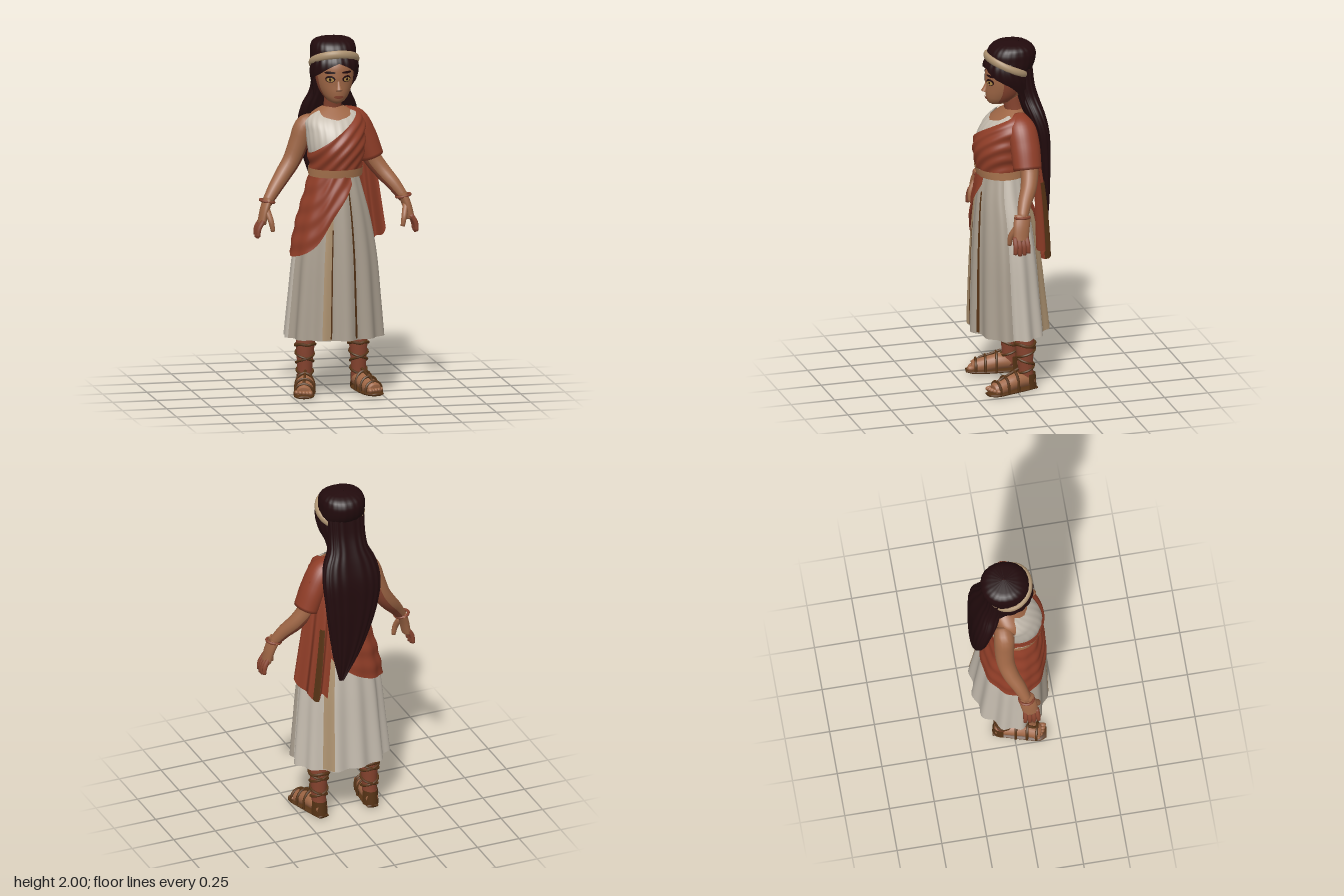
import * as THREE from 'three';
import { mergeVertices } from 'three/addons/utils/BufferGeometryUtils.js';

const paint = (name, color, side = THREE.FrontSide) => {
  const m = new THREE.MeshStandardMaterial({ color, side });
  m.name = name;
  return m;
};
const D = THREE.DoubleSide;
const M = {
  skin: paint('skin', 0x9e6645), deep: paint('deepSkin', 0x87442f), linen: paint('linen', 0xc3baad, D),
  pleat: paint('pleatShade', 0xaa9f90, D), rust: paint('rustCloth', 0x8f3d27, D), hair: paint('darkHair', 0x220b0d, D),
  band: paint('headbandCloth', 0xad9270, D), tan: paint('tanLeather', 0xae7851, D), brown: paint('sandalBrown', 0x563315, D),
  eye: paint('amberEye', 0xb08a48),
};
const { lerp, clamp } = THREE.MathUtils;
const PI = Math.PI, { sin, cos, abs, sign, pow } = Math;

// Smooth function through rows [t, ...values], t ascending
function prof(rows) {
  const n = rows[0].length - 1;
  const c = new THREE.CubicInterpolant(rows.map(r => r[0]), rows.flatMap(r => r.slice(1)), n, new Array(n));
  return t => c.evaluate(clamp(t, rows[0][0], rows[rows.length - 1][0]));
}

// Grid surface from f(u, v); faces outward when u x v points out
function patch(f, nu, nv) {
  const p = [], idx = [];
  for (let j = 0; j <= nv; j++) for (let i = 0; i <= nu; i++) p.push(...f(i / nu, j / nv));
  for (let j = 0; j < nv; j++) for (let i = 0; i < nu; i++) {
    const a = j * (nu + 1) + i, b = a + 1, c = a + nu + 1, d = c + 1;
    idx.push(a, b, c, b, d, c);
  }
  let g = new THREE.BufferGeometry();
  g.setAttribute('position', new THREE.Float32BufferAttribute(p, 3));
  g.setIndex(idx);
  g = mergeVertices(g, 1e-5);
  g.computeVertexNormals();
  return g;
}

// Point on a profile of [y, halfWidth, frontZ, backZ]; angle 0 is the front
function surf(P, th, y, off = 0, e = 1) {
  const [rx, zf, zb] = P(y), s = sin(th), c = cos(th);
  return [sign(s) * pow(abs(s), e) * (rx + off), y,
    (zf + zb) / 2 + sign(c) * pow(abs(c), e) * ((zf - zb) / 2 + off)];
}
const call = (f, ...a) => (typeof f === 'function' ? f(...a) : f);
function wrap(P, t0, t1, lo, hi, off, nu = 64, nv = 24, e = 1) {
  return patch((u, v) => {
    const th = lerp(t0, t1, u), y = lerp(call(lo, th), call(hi, th), v);
    return surf(P, th, y, call(off, th, y), e);
  }, nu, nv);
}
const decal = (P, t, y, dt, dy, off) => patch((u, v) =>
  surf(P, t + dt * v * cos(-u * 2 * PI), y + dy * v * sin(-u * 2 * PI), off), 20, 3);

// Rounded limb through points [x, y, z, radius]; k flattens it along the second axis,
// u0..u1 limits how far round it goes and grow thickens it
function limb(pts, k = 1, ref = [0, 0, 1], nu = 18, nv = 24, u0 = 0, u1 = 1, grow = 0) {
  const curve = new THREE.CatmullRomCurve3(pts.map(q => new THREE.Vector3(q[0], q[1], q[2])));
  const R = prof(pts.map((q, i) => [i / (pts.length - 1), q[3]])), up = new THREE.Vector3(...ref);
  return patch((u, v) => {
    const t = clamp((v * nv - 1) / (nv - 2), 0, 1), r = v === 0 || v === 1 ? 0 : R(t)[0] + grow;
    const T = curve.getTangent(t), N = up.clone().cross(T).normalize(), B = T.clone().cross(N);
    const a = lerp(u0, u1, u) * 2 * PI;
    return curve.getPoint(t).addScaledVector(N, r * cos(a)).addScaledVector(B, k * r * sin(a)).toArray();
  }, nu, nv);
}
const cord = (pts, r, closed = false, n = 48) => new THREE.TubeGeometry(
  new THREE.CatmullRomCurve3(pts.map(p => new THREE.Vector3(...p)), closed), n, r, 7, closed);
const steps = (n, f) => Array.from({ length: n }, (_, i) => f(i));

// Cross-section profiles
const BODY = prof([[1.22, .122, .145, -.075], [1.3, .128, .165, -.08], [1.4, .145, .175, -.09], [1.48, .15, .15, -.1],
  [1.54, .15, .105, -.1], [1.58, .12, .055, -.095], [1.61, .06, .015, -.08]]);
const SKIRT = prof([[.33, .275, .212, -.207], [.55, .256, .208, -.185], [.8, .232, .2, -.16], [1, .195, .188, -.13],
  [1.12, .162, .176, -.1], [1.25, .126, .152, -.08]]);
const HEAD = prof([[1.635, 0, .07, .06], [1.648, .036, .105, .0], [1.67, .06, .12, -.03], [1.7, .08, .126, -.07],
  [1.75, .098, .126, -.09], [1.8, .105, .127, -.1], [1.86, .105, .118, -.1], [1.9, .08, .09, -.08]]);
const CAP = prof([[1.6, .1, .03, -.14], [1.7, .108, .07, -.13], [1.8, .133, .132, -.12], [1.87, .13, .135, -.1], [1.93, .11, .1, -.1]]);
const BUN = prof([[1.82, .112, .09, -.1], [1.86, .123, .112, -.135], [1.91, .125, .115, -.153], [1.95, .122, .106, -.15],
  [1.98, .104, .075, -.125], [1.994, .068, .035, -.085], [2, 0, -.02, -.03]]);
const TRESS = prof([[.9, .012, -.185, -.2], [1.05, .075, -.165, -.21], [1.2, .12, -.15, -.214], [1.35, .152, -.135, -.215],
  [1.5, .168, -.11, -.208], [1.6, .152, -.075, -.185], [1.68, .114, -.05, -.16], [1.75, .106, -.035, -.14], [1.86, .105, -.03, -.125]]);

export function createModel() {
  const model = new THREE.Group();
  const add = (name, geo, mat, parent = model) => {
    const m = new THREE.Mesh(geo, mat);
    m.name = name;
    parent.add(m);
    return m;
  };

  // Torso, neck and head
  add('torso', wrap(BODY, -PI, PI, 1.22, 1.61, -.003), M.skin);
  add('neck', limb([[0, 1.54, -.045, .07], [0, 1.6, -.035, .052], [0, 1.68, -.015, .047]]), M.deep);
  add('head', wrap(HEAD, -PI, PI, 1.635, 1.9, 0, 48, 30), M.skin);
  add('nose', limb([[0, 1.775, .117, .009], [0, 1.745, .128, .012], [0, 1.72, .137, .019]], .9), M.skin);
  add('lips', decal(HEAD, 0, 1.683, .36, .009, .006), M.deep);
  for (const s of [-1, 1]) {
    add('eyeOutline', decal(HEAD, s * .46, 1.784, .27, .019, .003), M.hair);
    add('eye', decal(HEAD, s * .46, 1.781, .2, .012, .005), M.eye);
    add('pupil', decal(HEAD, s * .45, 1.782, .06, .009, .007), M.hair);
    add('eyebrow', decal(HEAD, s * .46, 1.82, .3, .007, .004), M.hair);
    add('jawShade', wrap(HEAD, s * 1.65 - .4, s * 1.65 + .4, 1.66, 1.79, .0015, 10, 10), M.deep);
  }

  // Hair: swept fringe, bun, long tress drifting to the left, and flat band
  const fringe = prof([[0, 1.872], [.45, 1.845], [.85, 1.81], [1.2, 1.785], [1.5, 1.75], [1.9, 1.66], [PI, 1.62]]);
  add('hairCap', wrap(CAP, -PI, PI, t => fringe(abs(t))[0], 1.93, t => .002 * sin(abs(t) * 18), 96, 14), M.hair);
  add('hairBun', wrap(BUN, -PI, PI, 1.82, 2, t => .001 * sin(t * 22), 96, 24, .9), M.hair);
  add('longHair', patch((u, v) => {
    const t = lerp(-PI, PI, u), y = lerp(.9, 1.86, v);
    const [x, , z] = surf(TRESS, t, y, .002 * sin(t * 18 + y * 3), .7);
    return [x + .075 * pow(clamp((1.45 - y) / .55, 0, 1), 1.6), y, z];
  }, 108, 36), M.hair);
  add('headband', patch((u, v) => {
    const a = u * 2 * PI, b = v * 2 * PI, r = .014 * cos(b);
    return [(.127 + r) * sin(a), 1.868 + .052 * cos(a) + .023 * sin(b), .005 + (.114 + r) * cos(a)];
  }, 64, 12), M.band);

  // Bodice and belt
  const neckline = prof([[0, 1.548], [.5, 1.565], [.95, 1.592], [1.3, 1.56], [1.7, 1.52], [PI, 1.52]]);
  add('bodice', wrap(BODY, -PI, PI, 1.24, t => neckline(abs(t))[0], (t, y) => .01 + .0015 * sin(t * 24), 96, 40), M.linen);
  add('belt', wrap(BODY, -PI, PI, 1.236, 1.282, .026, 64, 4), M.tan);

  // Pleated skirt in a shaded front and a lighter back, with lining, panels and slits
  const pleats = (t, y) => lerp(.012, .002, clamp((y - .33) / .9, 0, 1)) * (sin(t * 12) + .4 * sin(t * 7 + 1));
  const onSkirt = (name, t0, t1, lo, hi, off, mat, nu = 20) =>
    add(name, wrap(SKIRT, t0, t1, lo, hi, (t, y) => pleats(t, y) + off, nu, 30), mat);
  onSkirt('skirtFront', -1.35, 1.35, .33, 1.25, 0, M.pleat, 80);
  onSkirt('skirtBack', 1.35, 2 * PI - 1.35, .33, 1.25, 0, M.linen, 104);
  onSkirt('skirtLining', -PI, PI, .335, .8, -.007, M.brown, 180);
  onSkirt('frontPanel', -.4, -.22, .335, 1.2, .003, M.band);
  onSkirt('backPanel', 2.45, 2.72, .335, 1.1, .003, M.band);
  onSkirt('slit', .29, .35, .34, 1.15, .004, M.brown);
  onSkirt('slit', -.235, -.205, .34, .95, .005, M.brown);

  // Mantle: chest wrap, shoulder cape, hip wrap and hanging tail
  add('chestDrape', wrap(BODY, -PI, PI, 1.276, t => 1.482 + .115 * sin(t),
    (t, y) => .019 + .004 * sin(85 * (y - .16 * sin(t))), 96, 48), M.rust);
  add('shoulderDrape', limb([[.06, 1.568, -.04, .042], [.128, 1.525, -.04, .066], [.178, 1.435, -.045, .07],
    [.224, 1.315, -.045, .067]], 1.18, [0, 0, 1], 28), M.rust);
  const hem = prof([[-4.1, 1.12], [-3.5, .97], [-2.8, .86], [-2, .81], [-1.3, .79], [-.6, .865], [-.2, 1.02], [.42, 1.2]]);
  add('hipDrape', wrap(SKIRT, -4.1, .42, t => hem(t)[0], 1.245,
    (t, y) => .019 + .5 * pleats(t, y) + .0028 * sin(60 * (y - .8 * hem(t)[0])), 120, 40), M.rust);
  const tail = (u, v, back) => [
    lerp(lerp(.16, .31, u), lerp(.09, .22, u), v),
    lerp(.8 + .02 * sin(u * 12) + .28 * Math.max(0, u - .6), 1.5, v),
    lerp(lerp(-.195, -.085, u) + .02 * sin(u * 15), lerp(-.125, -.085, u), v * v) - back,
  ];
  add('hangingDrape', patch((u, v) => tail(u, v, 0), 36, 20), M.rust);
  add('hangingDrapeFold', patch((u, v) => tail(lerp(.3, .44, u), v * .6, .004), 6, 12), M.brown);

  for (const s of [-1, 1]) {
    const side = s > 0 ? 'left' : 'right';
    const mir = pts => pts.map(([x, ...r]) => [s * x, ...r]);

    // Arm with shaded underside, hand and bracelet
    const arm = new THREE.Group();
    arm.name = side + 'Arm';
    model.add(arm);
    const armPath = mir([[.1, 1.525, -.05, .045], [.152, 1.5, -.05, .056], [.185, 1.41, -.055, .055], [.225, 1.31, -.055, .05],
      [.278, 1.235, -.035, .045], [.335, 1.165, .005, .038], [.388, 1.09, .037, .028]]);
    add('arm', limb(armPath), M.skin, arm);
    const [u0, u1] = s > 0 ? [.36, .74] : [-.24, .14];
    add('armUnderside', limb(armPath, 1, [0, 0, 1], 12, 24, u0, u1, .0015), M.deep, arm);
    add('palm', limb(mir([[.38, 1.11, .032, .025], [.402, 1.05, .045, .025], [.42, .975, .054, .023]]), 1.85), M.skin, arm);
    for (let i = 0; i < 4; i++) {
      const z = .024 + .021 * i, d = abs(i - 1.6) * .009;
      add('finger', limb(mir([[.416, 1, z, .014], [.442, .955, z + .002 * (i - 1.5), .014],
        [.448, .897 + d, z + .004 * (i - 1.5), .011]]), 1, [0, 0, 1], 10, 10), M.deep, arm);
    }
    add('thumb', limb(mir([[.392, 1.055, .065, .018], [.376, .995, .098, .016], [.366, .94, .104, .012]]), 1, [0, 0, 1], 10, 10), M.skin, arm);
    const bangle = add('bracelet', new THREE.TorusGeometry(.039, .008, 8, 32), M.deep, arm);
    bangle.position.set(s * .385, 1.1, .035);
    bangle.rotation.set(PI / 2, s * .2, 0);

    // Leg and foot
    const leg = new THREE.Group();
    leg.name = side + 'Leg';
    model.add(leg);
    add('shin', limb(mir([[.13, .6, -.03, .065], [.145, .35, -.05, .055], [.15, .25, -.052, .05], [.152, .13, -.055, .041],
      [.152, .05, -.06, .04]])), M.deep, leg);
    add('foot', limb(mir([[.15, .055, -.1, .034], [.157, .065, -.04, .046], [.168, .064, .02, .05], [.178, .053, .065, .048],
      [.197, .038, .125, .044], [.202, .034, .145, .035]]), .9, [0, 1, 0]), M.skin, leg);
    for (let i = 0; i < 5; i++) {
      const toe = add('toe', new THREE.SphereGeometry(i ? .012 : .015, 10, 8), M.skin, leg);
      toe.position.set(s * (.17 + .017 * i), .036, .158 - .0024 * i * i);
      toe.scale.z = 1.6;
    }

    // Sandal: sole, foot straps, heel cup and crossed lacing
    add('sole', limb(mir([[.147, .014, -.115, .032], [.155, .014, -.06, .043], [.178, .014, .06, .055], [.2, .014, .14, .054],
      [.207, .014, .178, .03]]), .25, [0, 1, 0], 24), M.brown, leg);
    for (const [z, x, w, h] of [[.125, .197, .048, .08], [.075, .182, .051, .1], [.015, .167, .051, .12]])
      add('footStrap', cord(mir(steps(9, i => [x + w * cos(i * PI / 8), .018 + (h - .018) * pow(sin(i * PI / 8), .7), z - .012 * cos(i * PI / 8)])), .008), M.brown, leg);
    add('centreStrap', cord(mir([[.16, .13, -.01], [.176, .106, .05], [.192, .085, .105], [.185, .034, .155]]), .008), M.brown, leg);
    add('heelCup', patch((u, v) => {
      const a = lerp(1.7, 2 * PI - 1.7, u), w = lerp(1, .92, v);
      return [s * .153 + .047 * w * sin(a), lerp(.015, .1, v), -.055 + .062 * w * cos(a)];
    }, 20, 4), M.brown, leg);
    for (const d of [-1, 1])
      add('legLacing', cord(mir(steps(41, i => {
        const t = i / 40, a = d * t * 3.5 * PI, r = lerp(.043, .053, t);
        return [.152 + r * sin(a), .1 + .17 * t, -.055 + r * cos(a)];
      })), .007, false, 100), M.brown, leg);
    add('topLace', cord(mir(steps(16, i => [.15 + .054 * sin(i * PI / 8), .272 + .006 * sin(i), -.053 + .054 * cos(i * PI / 8)])), .009, true), M.brown, leg);
  }
  return model;
}
